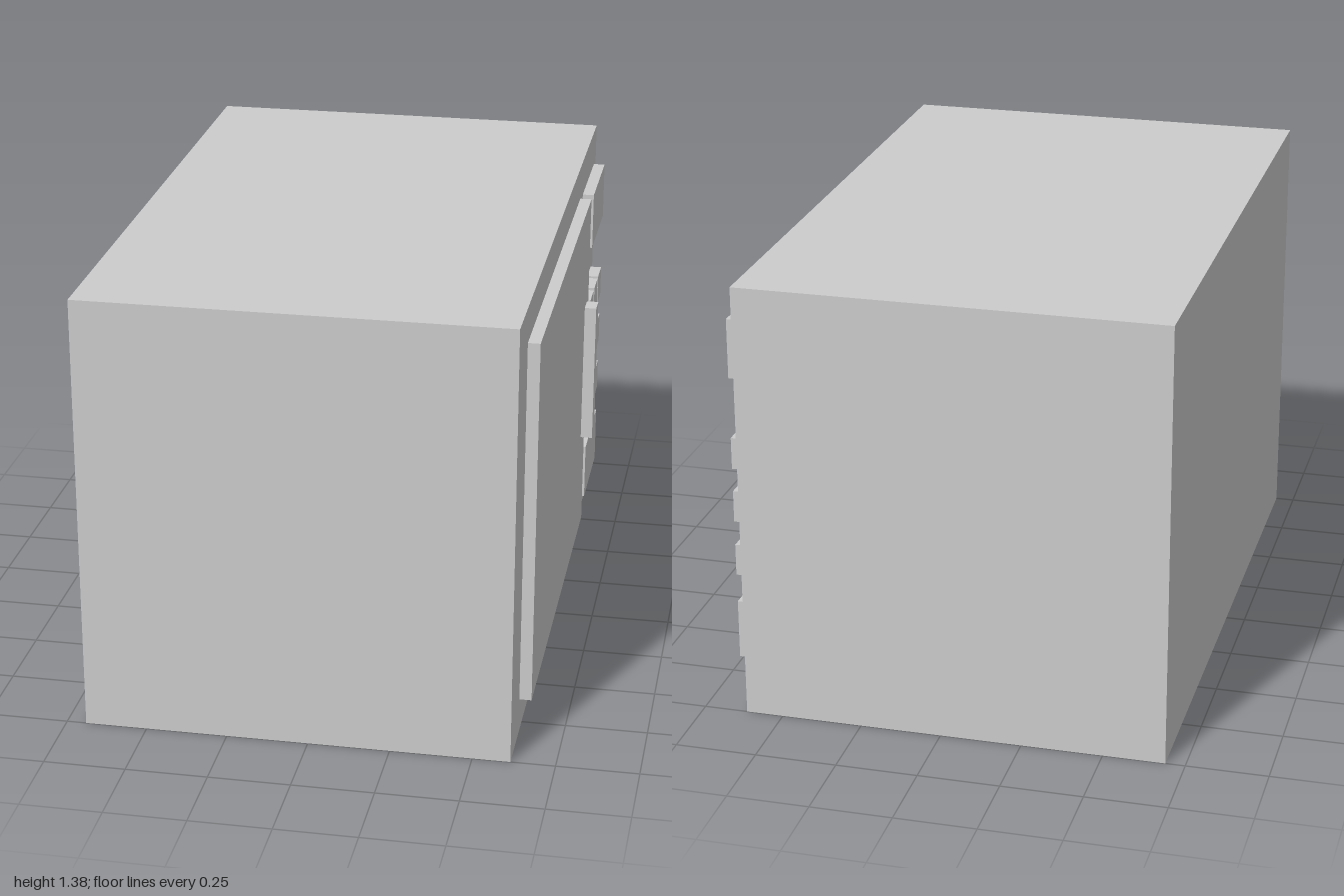
import * as THREE from 'three';

export function createModel() {
  const model = new THREE.Group();
  const material = new THREE.MeshStandardMaterial({ color: 0xcccccc, flatShading: true });

  // Box given by its extents along each axis
  function addBox(name, [x0, x1], [y0, y1], [z0, z1], parent = model) {
    const mesh = new THREE.Mesh(new THREE.BoxGeometry(x1 - x0, y1 - y0, z1 - z0), material);
    mesh.position.set((x0 + x1) / 2, (y0 + y1) / 2, (z0 + z1) / 2);
    mesh.name = name;
    parent.add(mesh);
  }

  const face = 0.615, raised = 0.652, outer = 0.69;
  const relief = [face, raised];

  // Oven casing
  addBox('casing', [-0.69, face], [0, 1.376], [-1, 1]);

  // Door with its upright handle
  addBox('door', relief, [0.112, 1.265], [-0.525, 0.815]);
  addBox('doorHandle', [raised, outer], [0.457, 0.922], [-0.483, -0.418]);

  // Display above and opening button below the keypad
  const panelZ = [-0.943, -0.6];
  addBox('display', relief, [1.07, 1.255], panelZ);
  addBox('openButton', relief, [0.157, 0.343], panelZ);

  // Keypad, three by three
  const keypad = new THREE.Group();
  keypad.name = 'keypad';
  model.add(keypad);
  const key = 0.099;
  for (const y of [0.831, 0.659, 0.483]) {
    for (const z of [-0.655, -0.777, -0.895]) {
      addBox('key', relief, [y - key / 2, y + key / 2], [z - key / 2, z + key / 2], keypad);
    }
  }

  return model;
}
